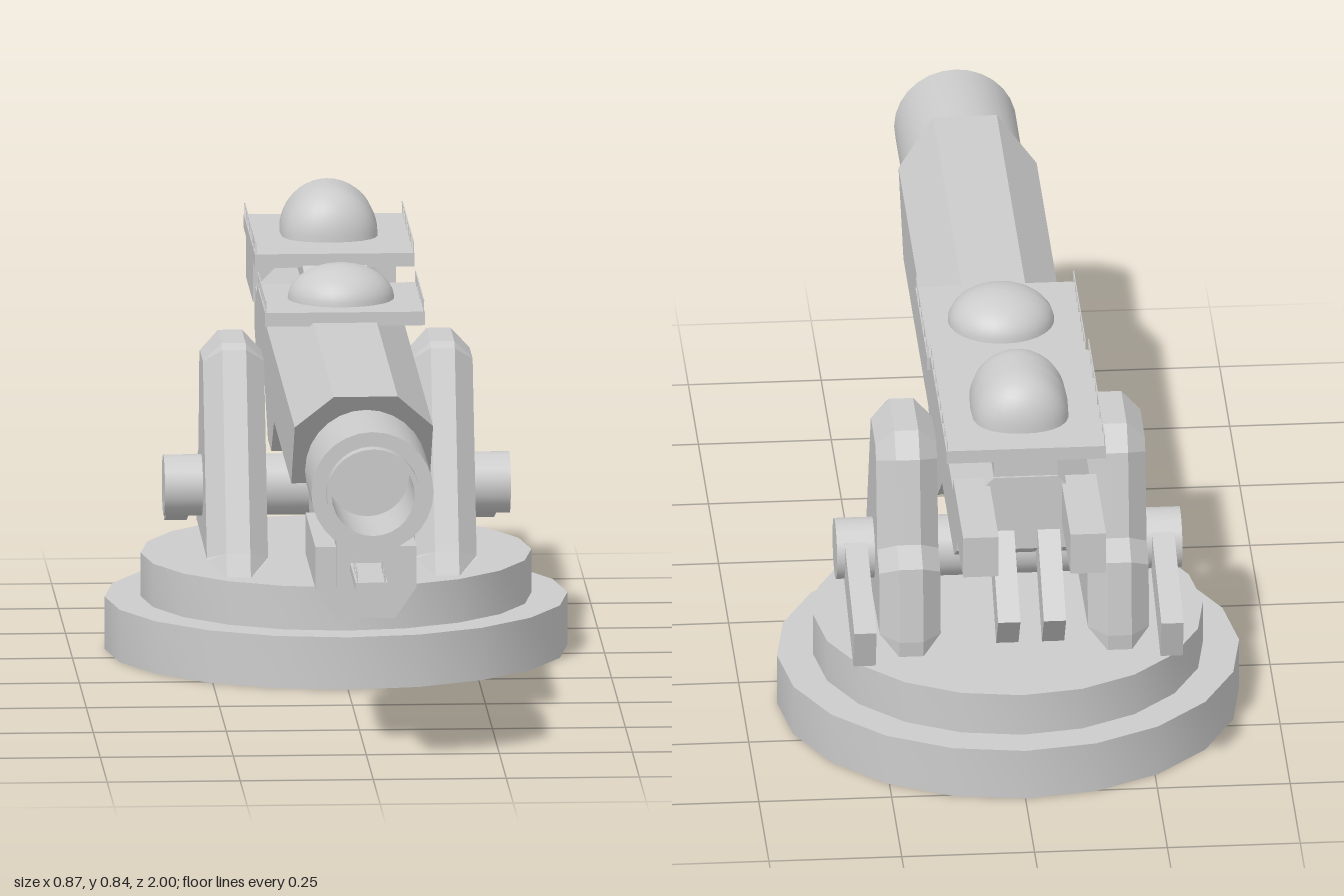
import * as THREE from 'three';
import { toCreasedNormals } from 'three/addons/utils/BufferGeometryUtils.js';

const solid = new THREE.MeshStandardMaterial({ color: 0xcccccc });
const open = new THREE.MeshStandardMaterial({ color: 0xcccccc, side: THREE.DoubleSide });

export function createModel() {
  const model = new THREE.Group();

  function add(name, geometry, material = solid, parent = model) {
    const mesh = new THREE.Mesh(geometry, material);
    mesh.name = name;
    parent.add(mesh);
    return mesh;
  }

  function box(name, w, h, d, x, y, z, parent = model) {
    const mesh = add(name, new THREE.BoxGeometry(w, h, d), solid, parent);
    mesh.position.set(x, y, z);
    return mesh;
  }

  function lathe(points, sides) {
    const g = new THREE.LatheGeometry(points.map(p => new THREE.Vector2(...p)), sides);
    return toCreasedNormals(g, 0.6);
  }

  // Side profile of [z, y] points, extruded across x and centred on x = 0
  function sideExtrude(profile, width, bevel = 0) {
    const g = new THREE.ExtrudeGeometry(new THREE.Shape(profile.map(p => new THREE.Vector2(...p))), {
      depth: width - 2 * bevel, bevelEnabled: bevel > 0, bevelSegments: 1,
      bevelSize: bevel, bevelThickness: bevel, bevelOffset: -bevel,
    });
    g.translate(0, 0, -(width - 2 * bevel) / 2);
    return g.rotateY(-Math.PI / 2);
  }

  // Flat-sided loft through convex sections, front to back, counterclockwise from the front
  function loft(sections) {
    const pos = [];
    const n = sections[0].length;
    for (let s = 0; s + 1 < sections.length; s++) {
      const a = sections[s], b = sections[s + 1];
      for (let i = 0; i < n; i++) {
        const j = (i + 1) % n;
        pos.push(...a[i], ...b[i], ...b[j], ...a[i], ...b[j], ...a[j]);
      }
    }
    const f = sections[0], r = sections[sections.length - 1];
    for (let i = 1; i + 1 < n; i++) pos.push(...f[0], ...f[i], ...f[i + 1], ...r[0], ...r[i + 1], ...r[i]);
    const g = new THREE.BufferGeometry();
    g.setAttribute('position', new THREE.Float32BufferAttribute(pos, 3));
    g.computeVertexNormals();
    return g;
  }

  // Hollow two-step turntable
  add('turntable', lathe([[0.435, 0], [0.435, 0.1], [0.367, 0.1], [0.367, 0.183], [0, 0.183]], 20), open)
    .position.z = -0.34;

  // Octagonal gun housing with a raked front
  const section = (zAt, bottom) => [
    [-0.13, bottom], [0.13, bottom], [0.13, 0.61], [0.06, 0.68], [-0.06, 0.68], [-0.13, 0.61],
  ].map(([x, y]) => [x, y, zAt(y)]);
  const stations = [[-0.08, 0.48], [-0.18, 0.405], [-0.3, 0.405], [-0.42, 0.49], [-0.72, 0.49], [-0.785, 0.53]];
  add('housing', loft([
    section(y => 0.73 - (0.68 - y) * 0.95, 0.48),
    ...stations.map(([z, bottom]) => section(() => z, bottom)),
  ]));

  // Narrow beam under the housing, reaching down to the pivot
  add('lowerBeam', sideExtrude([
    [0.742, 0.605], [0.742, 0.32], [0, 0.32], [-0.1, 0.228], [-0.2, 0.228], [-0.3, 0.41], [-0.3, 0.605],
  ].reverse(), 0.112));
  add('rearRiser', sideExtrude([[-0.31, 0.67], [-0.31, 0.68], [-0.38, 0.72], [-0.78, 0.72], [-0.78, 0.67]], 0.12));

  // Muzzle with an open bore
  const muzzle = lathe([
    [0.1, 0.5], [0.1, 0.745], [0.115, 0.745], [0.115, 0.97], [0.0875, 0.97],
    [0.0875, 1], [0.078, 1], [0.078, 0.8], [0, 0.8],
  ], 28).rotateX(Math.PI / 2);
  add('muzzle', muzzle, open).position.y = 0.543;

  // Chin box and its small ledge
  const chin = (zLow, zHigh) => [
    [-0.055, 0.258, zLow], [0.055, 0.258, zLow], [0.095, 0.316, zHigh],
    [0.095, 0.395, zHigh], [-0.095, 0.395, zHigh], [-0.095, 0.316, zHigh],
  ];
  add('chinBox', loft([chin(0.735, 0.735), chin(0.42, 0.387)]));
  box('chinLedge', 0.06, 0.016, 0.2, 0, 0.357, 0.842);
  for (const side of [-1, 1]) {
    for (let i = 0; i < 4; i++) box('ledgePost', 0.002, 0.022, 0.002, side * 0.026, 0.375, 0.8 + i * 0.045);
    box('ledgeRail', 0.002, 0.002, 0.14, side * 0.026, 0.372, 0.868);
  }

  // Decks with railings along both sides
  function deck(name, y, front, back) {
    const group = new THREE.Group();
    group.name = name;
    model.add(group);
    const length = front - back, mid = (front + back) / 2;
    box('deckPlate', 0.3, 0.026, length, 0, y - 0.013, mid, group);
    for (const side of [-1, 1]) {
      box('rail', 0.002, 0.002, length, side * 0.148, y + 0.021, mid, group);
      for (let i = 0; i < 8; i++) {
        box('railPost', 0.002, 0.023, 0.002, side * 0.148, y + 0.011, front - 0.004 - i * (length - 0.008) / 7, group);
      }
    }
  }
  deck('frontDeck', 0.7, -0.015, -0.312);
  deck('rearDeck', 0.742, -0.385, -0.79);

  // Domes; the rear one is squared off along z
  function dome(name, power, scale, y, z) {
    const g = new THREE.SphereGeometry(1, 28, 12, 0, Math.PI * 2, 0, Math.PI / 2);
    const p = g.attributes.position;
    for (let i = 0; i < p.count; i++) {
      const v = p.getZ(i);
      p.setZ(i, Math.sign(v) * Math.abs(v) ** power);
    }
    g.scale(...scale);
    g.computeVertexNormals();
    add(name, g, open).position.set(0, y, z);
  }
  dome('frontDome', 1, [0.1, 0.065, 0.1], 0.7, -0.165);
  dome('rearDome', 0.55, [0.092, 0.095, 0.115], 0.741, -0.612);

  // Pivot axle
  const axle = add('axle', new THREE.CylinderGeometry(0.058, 0.058, 0.65, 20).rotateZ(Math.PI / 2));
  axle.position.set(0, 0.314, -0.328);

  // Paired brackets, crank arms and rear bars
  const bracketProfile = [
    [-0.08, 0.182], [-0.1, 0.225], [-0.25, 0.585], [-0.27, 0.595], [-0.405, 0.595], [-0.44, 0.55],
    [-0.468, 0.386], [-0.52, 0.36], [-0.533, 0.214], [-0.53, 0.182],
  ].reverse();
  for (const side of [-1, 1]) {
    add('bracket', sideExtrude(bracketProfile, 0.115, 0.035)).position.x = side * 0.196;
    box('crankArm', 0.042, 0.083, 0.26, side * 0.289, 0.274, -0.478).rotation.x = -0.29;
    box('rearBar', 0.067, 0.082, 0.25, side * 0.101, 0.623, -0.875);
    box('rearStrut', 0.042, 0.083, 0.25, side * 0.043, 0.495, -0.815).rotation.x = -0.64;
  }

  return model;
}
